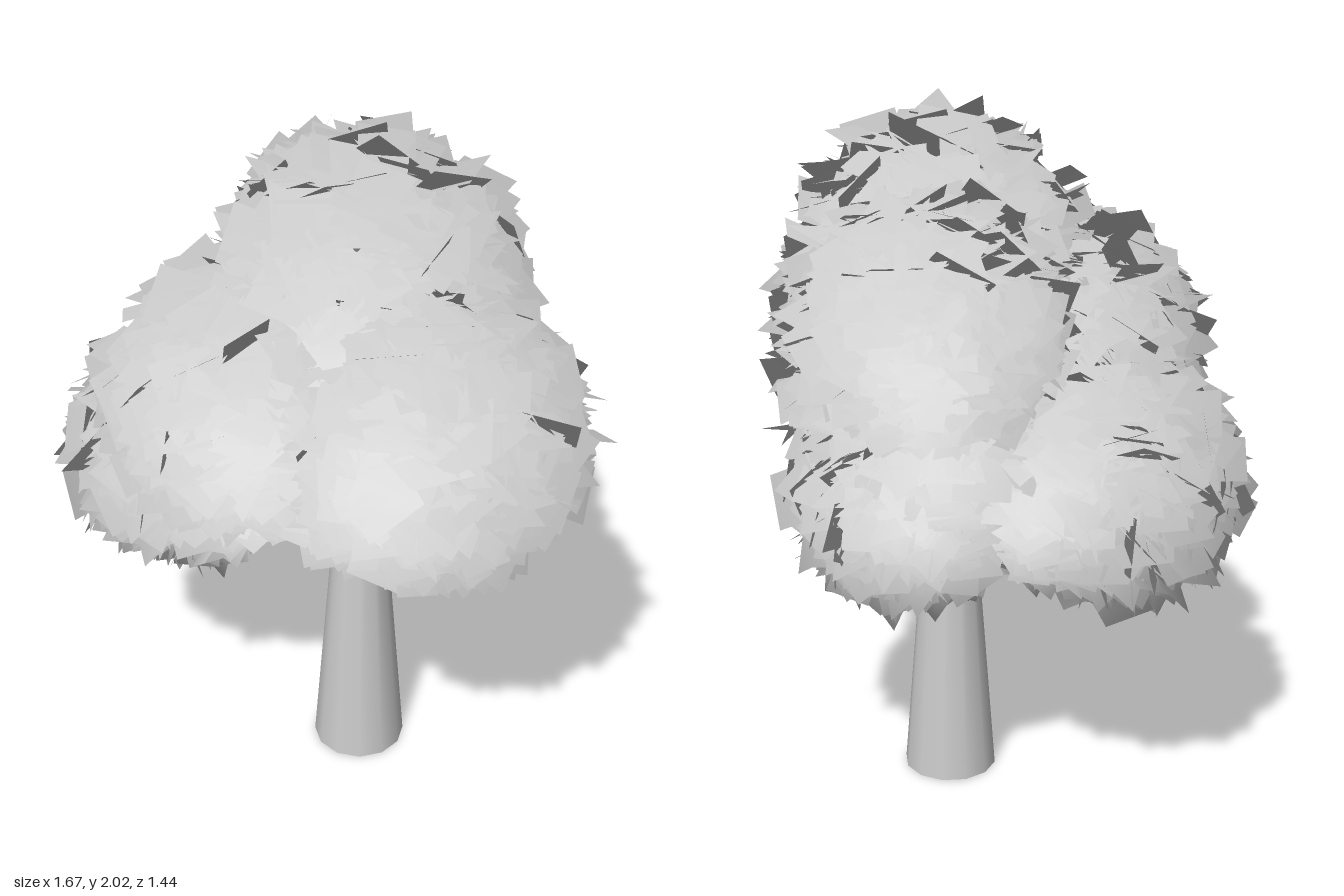
import * as THREE from 'three';
import { mergeGeometries } from 'three/addons/utils/BufferGeometryUtils.js';

// Leaf clusters: centre x, y, z and radius
const CLUSTERS = [
  { name: 'lowerRightFoliage', c: [-0.41, 1.01, 0.12], r: 0.335 },
  { name: 'leftFoliage', c: [0.4, 1.31, 0.19], r: 0.355 },
  { name: 'frontFoliage', c: [-0.13, 1.33, 0.29], r: 0.335 },
  { name: 'backFoliage', c: [-0.13, 1.5, -0.32], r: 0.31 },
  { name: 'topFoliage', c: [0.09, 1.57, -0.02], r: 0.375 },
  { name: 'lowerBackFoliage', c: [0.09, 0.93, -0.17], r: 0.3 },
  { name: 'innerFoliage', c: [0.06, 1.22, -0.03], r: 0.43 },
].map(({ name, c, r }) => ({ name, r, centre: new THREE.Vector3(...c) }));

const LEAVES_PER_CLUSTER = 600;

// Small seeded generator
function seeded(seed) {
  return () => {
    seed = (seed * 1664525 + 1013904223) % 4294967296;
    return seed / 4294967296;
  };
}

// Direction the foliage grows: outward from the top of the trunk, mostly upward
function growth(p) {
  return new THREE.Vector3(p.x, 2 * (p.y - 0.66), p.z).normalize();
}

// Square leaf cards scattered over a sphere and tilted loosely along the growth direction
function clusterGeometry(cluster, rand) {
  const { centre, r } = cluster;
  const cards = [];
  const spread = (amount) => (rand() * 2 - 1) * amount;
  const jitter = (amount) => new THREE.Vector3(spread(amount), spread(amount), spread(amount));
  const forward = new THREE.Vector3(0, 0, 1);
  const unit = new THREE.Vector3(1, 1, 1);

  for (let i = 0; i < LEAVES_PER_CLUSTER; i++) {
    const y = 1 - (2 * (i + 0.5)) / LEAVES_PER_CLUSTER;
    const ring = Math.sqrt(1 - y * y);
    const angle = i * 2.39996;
    const out = new THREE.Vector3(Math.cos(angle) * ring, y, Math.sin(angle) * ring);
    out.add(jitter(0.12)).normalize();
    const position = centre.clone().addScaledVector(out, r - rand() * 0.06);
    const buried = CLUSTERS.some((o) => o !== cluster && position.distanceTo(o.centre) < o.r - 0.14);
    if (buried) continue;

    const facing = growth(position).addScaledVector(out, 0.15).add(jitter(0.8)).normalize();
    const turn = new THREE.Quaternion().setFromUnitVectors(forward, facing);
    turn.multiply(new THREE.Quaternion().setFromAxisAngle(forward, rand() * Math.PI * 2));
    const size = 0.12 + rand() * 0.05;
    const card = new THREE.PlaneGeometry(size, size);
    card.applyMatrix4(new THREE.Matrix4().compose(position, turn, unit));

    // Rounded shading over the whole crown
    const pos = card.attributes.position;
    const v = new THREE.Vector3();
    for (let k = 0; k < pos.count; k++) {
      const n = growth(v.fromBufferAttribute(pos, k)).addScaledVector(out, 0.6).normalize();
      card.attributes.normal.setXYZ(k, n.x, n.y, n.z);
    }
    cards.push(card);
  }
  return mergeGeometries(cards);
}

export function createModel() {
  const tree = new THREE.Group();
  tree.name = 'tree';
  const material = new THREE.MeshStandardMaterial({ color: 0xcccccc, side: THREE.DoubleSide });

  // Tapered trunk, open at both ends
  const height = 1.0;
  const trunk = new THREE.Mesh(new THREE.CylinderGeometry(0.06, 0.137, height, 12, 1, true), material);
  trunk.name = 'trunk';
  trunk.position.set(0.07, height / 2, 0);
  tree.add(trunk);

  // Crown of overlapping leaf clusters
  const crown = new THREE.Group();
  crown.name = 'crown';
  const rand = seeded(7);
  for (const cluster of CLUSTERS) {
    const foliage = new THREE.Mesh(clusterGeometry(cluster, rand), material);
    foliage.name = cluster.name;
    crown.add(foliage);
  }
  tree.add(crown);

  return tree;
}
